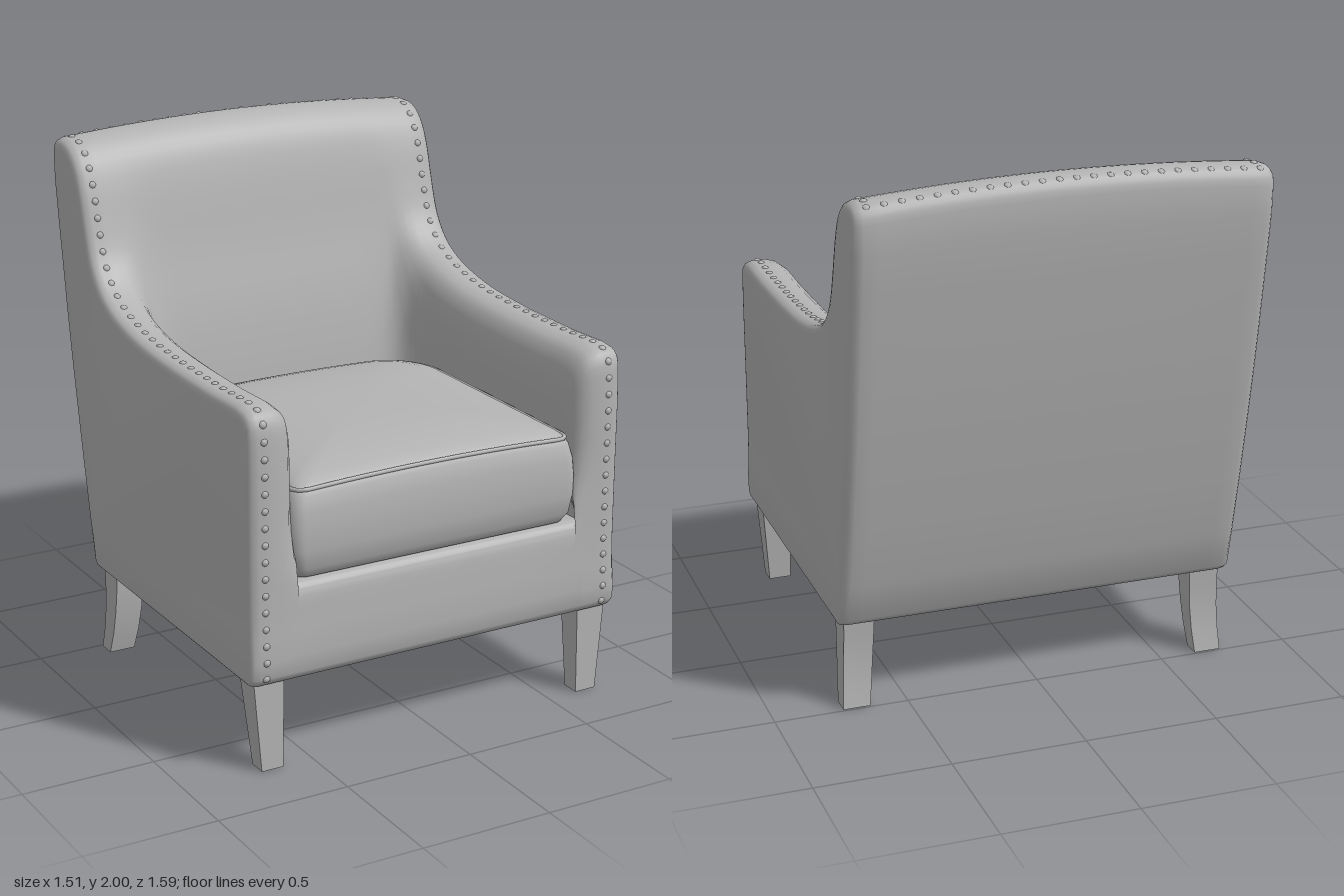
import * as THREE from 'three';
import { mergeGeometries, toCreasedNormals } from 'three/addons/utils/BufferGeometryUtils.js';

const grey = new THREE.MeshStandardMaterial({ color: 0xb3b3b3 });
grey.name = 'grey upholstery';

// Side profile rows, front bottom -> over the top -> back bottom:
// z, y at the arm, then z, y between the arms
const ROWS = [
  [0.77, 0.337, 0.77, 0.337], [0.789, 0.365, 0.789, 0.365], [0.787, 0.6, 0.787, 0.6],
  [0.787, 0.9, 0.78, 0.66], [0.787, 1.2, 0.77, 0.68], [0.775, 1.3, 0.75, 0.69],
  [0.735, 1.331, 0.7, 0.69], [0.5, 1.333, 0.5, 0.69], [0.2, 1.338, 0.2, 0.69],
  [-0.05, 1.355, -0.05, 0.69], [-0.2, 1.383, -0.3, 0.69], [-0.3, 1.415, -0.35, 0.75],
  [-0.39, 1.468, -0.39, 1.05], [-0.46, 1.555, -0.43, 1.3], [-0.505, 1.68, -0.49, 1.55],
  [-0.54, 1.8, -0.54, 1.78], [-0.58, 1.89, -0.58, 1.89], [-0.64, 1.95, -0.64, 1.95],
  [-0.72, 1.967, -0.72, 1.967], [-0.775, 1.952, -0.775, 1.952], [-0.793, 1.9, -0.793, 1.9],
  [-0.744, 1.5, -0.744, 1.5], [-0.66, 1.0, -0.66, 1.0], [-0.517, 0.36, -0.517, 0.36],
  [-0.495, 0.337, -0.495, 0.337],
];
const STEPS = (ROWS.length - 1) * 3;
const spline = (o) => new THREE.CatmullRomCurve3(
  ROWS.map((r) => new THREE.Vector3(0, r[o + 1], r[o])), false, 'centripetal').getPoints(STEPS);
const ARM = spline(0);
const INNER = spline(2);
const smooth = THREE.MathUtils.smoothstep;
const crown = (x, y) => 0.035 * (1 - (x / 0.75) ** 2) * smooth(y, 1.4, 1.95);

// Skin closed rings of equal length; optional flat end caps
function skin(rings, caps, crease) {
  const n = rings[0].length;
  const index = [];
  for (let k = 0; k < rings.length - 1; k++) {
    for (let i = 0; i < n; i++) {
      const a = k * n + i, b = k * n + (i + 1) % n;
      index.push(a, b, a + n, b, b + n, a + n);
    }
  }
  index.push(...caps);
  const geo = new THREE.BufferGeometry();
  geo.setAttribute('position', new THREE.Float32BufferAttribute(
    rings.flat().flatMap((p) => [p.x, p.y, p.z]), 3));
  geo.setIndex(index);
  return toCreasedNormals(geo, crease);
}

// One cross-section of the body: t blends arm to inner profile, e insets the outer edge,
// fillet moves the section inwards where the arm meets the back
function section({ x, t, e = 0, fillet = 0 }) {
  return ARM.map((a, i) => {
    const p = a.clone().lerp(INNER[i], t);
    if (p.z > 0.3) p.z -= t * 0.35 * smooth(p.y, 0.7, 0.95);
    const tan = ARM[Math.min(i + 1, STEPS)].clone().sub(ARM[Math.max(i - 1, 0)]).normalize();
    const inset = e * (a.y < 0.45 ? 0.5 : 1);
    p.y += tan.z * inset;
    p.z -= tan.y * inset;
    p.x = x - fillet * smooth(i / 3, 9, 12);
    p.y += crown(p.x, p.y);
    return p;
  });
}

function bodyGeometry() {
  const half = [
    { x: 0.757, t: 0, e: 0.035 }, { x: 0.754, t: 0, e: 0.02 }, { x: 0.744, t: 0, e: 0.007 },
    { x: 0.722, t: 0 }, { x: 0.67, t: 0 }, { x: 0.632, t: 0.015 }, { x: 0.602, t: 0.05 },
    { x: 0.582, t: 0.12, fillet: 0.005 }, { x: 0.573, t: 0.24, fillet: 0.02 },
    { x: 0.578, t: 0.45, fillet: 0.05 }, { x: 0.588, t: 0.7, fillet: 0.09 },
    { x: 0.598, t: 0.9, fillet: 0.14 }, { x: 0.605, t: 1, fillet: 0.19 },
    { x: 0.37, t: 1 }, { x: 0.25, t: 1 }, { x: 0.12, t: 1 },
  ].map(section);
  const mirror = half.map((r) => r.map((p) => new THREE.Vector3(-p.x, p.y, p.z))).reverse();
  const rings = [...half, section({ x: 0, t: 1 }), ...mirror];
  // Outer side panels
  const flat = half[0].map((p) => new THREE.Vector2(p.y, p.z));
  const caps = [];
  const last = (rings.length - 1) * flat.length;
  for (const f of THREE.ShapeUtils.triangulateShape(flat, [])) {
    const ccw = THREE.ShapeUtils.area(f.map((i) => flat[i])) > 0;
    const [a, b, c] = ccw ? f : [f[0], f[2], f[1]];
    caps.push(a, b, c, last + a, last + c, last + b);
  }
  return skin(rings, caps, 0.95);
}

// Seat cushion plan: tight front corners, wide rounded back corners
function cushionPlan() {
  const pts = [];
  const corner = (cx, cz, r, from) => {
    for (let i = 0; i <= 8; i++) {
      const a = from + (i / 8) * Math.PI / 2;
      pts.push([cx + r * Math.cos(a), cz + r * Math.sin(a)]);
    }
    // Extra points along the edge that follows at the front and back
    if (cz > 0 === cx > 0) for (let i = 1; i < 8; i++) pts.push([cx * (1 - i / 4), cz + r * Math.sign(cz)]);
  };
  const w = 0.575, d = 0.56;
  corner(w - 0.05, d - 0.05, 0.05, 0);
  corner(-w + 0.05, d - 0.05, 0.05, Math.PI / 2);
  corner(-w + 0.2, -d + 0.2, 0.2, Math.PI);
  corner(w - 0.2, -d + 0.2, 0.2, Math.PI * 1.5);
  return pts;
}
const PLAN = cushionPlan();
const planRing = (y, s) => PLAN.map(([x, z]) => new THREE.Vector3(
  x * s, y + 0.016 * (1 - (x * s / 0.575) ** 2) * smooth(y, 0.9, 1), 0.205 + z * s));

function cushionGeometry() {
  const levels = [[0.685, 0.001], [0.685, 0.93], [0.695, 0.97], [0.73, 1.005], [0.8, 1.022], [0.87, 1.025],
    [0.94, 1.015], [0.99, 0.995], [1.012, 0.975], [1.028, 0.94], [1.042, 0.85], [1.056, 0.7],
    [1.067, 0.5], [1.072, 0.25], [1.073, 0.001]];
  return skin(levels.map(([y, s]) => planRing(y, s)).reverse(), [], 0.85);
}

// Leg lofted through rectangles [y, x0, x1, z0, z1], bottom to top
function legGeometry(levels, side) {
  const rings = levels.map(([y, x0, x1, z0, z1]) => {
    const [l, r] = side > 0 ? [x0, x1] : [-x1, -x0];
    return [[l, z0], [l, z1], [r, z1], [r, z0]].map(([x, z]) => new THREE.Vector3(x, y, z));
  });
  return skin(rings, [0, 2, 1, 0, 3, 2], 0.5);
}

// Nail heads sunk into both arm fronts, arm tops and the back crest
function nailGeometry() {
  const spots = [];
  const sink = 0.009;
  const path = new THREE.CatmullRomCurve3(ARM.filter((p, i) => i >= 3 && i <= 54), false, 'centripetal');
  const count = Math.round(path.getLength() / 0.062);
  for (let i = 0; i <= count; i++) {
    const p = path.getPointAt(i / count), tan = path.getTangentAt(i / count);
    for (const s of [1, -1]) {
      spots.push([s * 0.7, p.y + crown(0.7, p.y) + tan.z * sink, p.z - tan.y * sink]);
    }
  }
  for (let i = 0; i < 24; i++) {
    const x = (i - 11.5) * 0.0612;
    spots.push([x, 1.958 + crown(x, 1.958) - sink, -0.76]);
  }
  return mergeGeometries(spots.map((s) => new THREE.SphereGeometry(0.016, 10, 8).translate(...s)));
}

export function createModel() {
  const chair = new THREE.Group();
  chair.name = 'armchair';
  const add = (name, geo) => {
    const mesh = new THREE.Mesh(geo, grey);
    mesh.name = name;
    chair.add(mesh);
  };
  add('upholsteredBody', bodyGeometry());
  add('seatCushion', cushionGeometry());
  const welt = new THREE.CatmullRomCurve3(planRing(1.013, 0.976), true, 'centripetal');
  add('cushionPiping', new THREE.TubeGeometry(welt, 160, 0.008, 8, true));
  add('nailHeads', nailGeometry());

  const front = [[0, 0.62, 0.705, 0.685, 0.757], [0.36, 0.615, 0.735, 0.648, 0.757]];
  const back = [[0, 0.64, 0.742, -0.492, -0.422], [0.09, 0.63, 0.736, -0.478, -0.398],
    [0.18, 0.623, 0.732, -0.472, -0.382], [0.27, 0.618, 0.73, -0.474, -0.372],
    [0.36, 0.615, 0.73, -0.48, -0.368]];
  for (const [label, side] of [['Left', 1], ['Right', -1]]) {
    add('front' + label + 'Leg', legGeometry(front, side));
    add('back' + label + 'Leg', legGeometry(back, side));
  }
  return chair;
}
